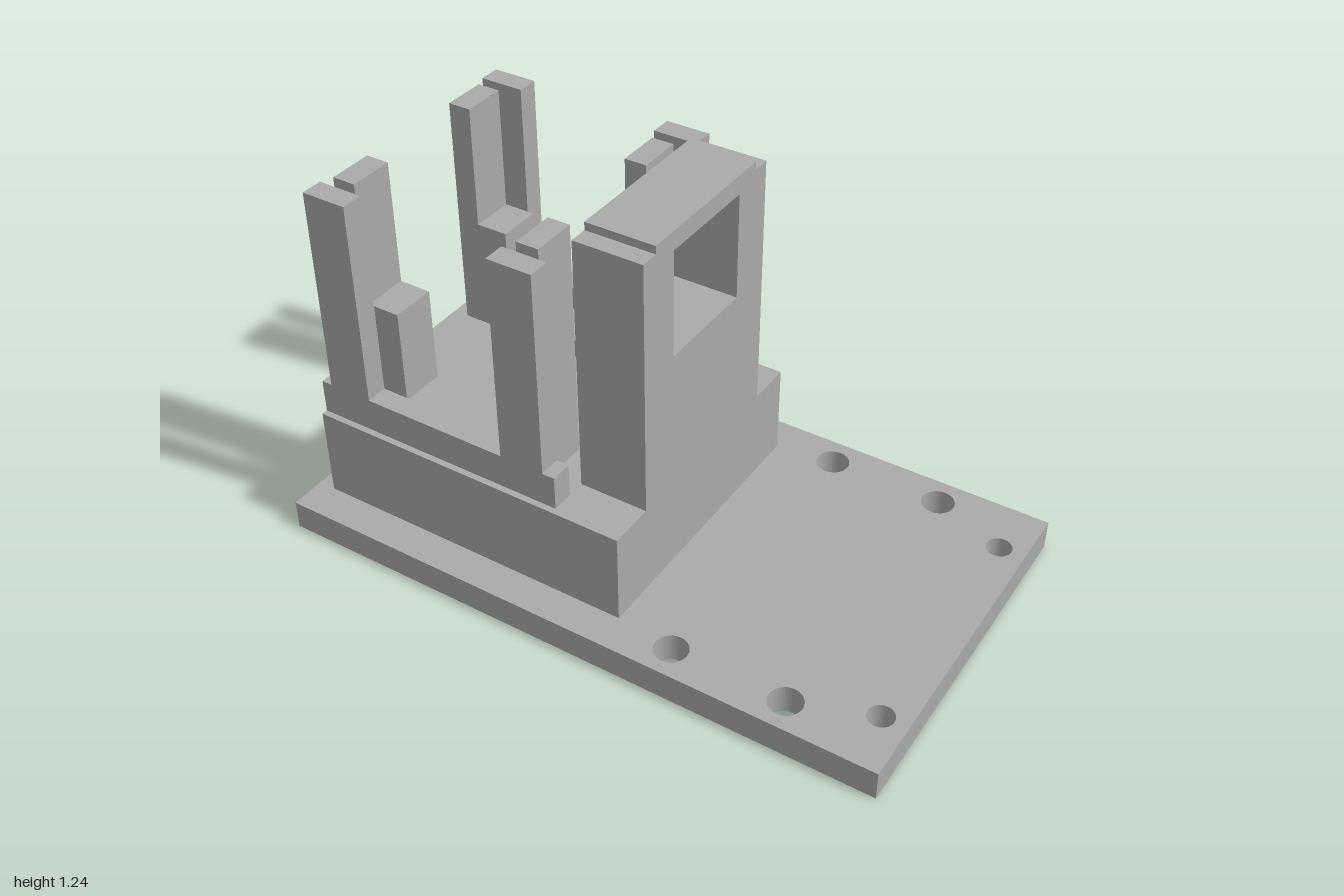
import * as THREE from 'three';

const grey = new THREE.MeshStandardMaterial({ color: 0xaaaaaa });
grey.name = 'plain grey';

const polygon = (points) => points.map(([x, y]) => new THREE.Vector2(x, y));

// Extrudes an outline with holes from depth 0 to the given depth
function extrude(name, shape, depth) {
  const geometry = new THREE.ExtrudeGeometry(shape, { depth, bevelEnabled: false, curveSegments: 20 });
  const mesh = new THREE.Mesh(geometry, grey);
  mesh.name = name;
  return mesh;
}

// Box given by its limits on each axis
function box(name, x0, x1, y0, y1, z0, z1) {
  const mesh = new THREE.Mesh(new THREE.BoxGeometry(x1 - x0, y1 - y0, z1 - z0), grey);
  mesh.position.set((x0 + x1) / 2, (y0 + y1) / 2, (z0 + z1) / 2);
  mesh.name = name;
  return mesh;
}

export function createModel() {
  const model = new THREE.Group();
  model.name = 'mountingBracket';
  const plateTop = 0.095, blockTop = 0.39;

  // Base plate with drilled holes
  const plate = new THREE.Shape(polygon([[-1, -0.575], [1, -0.575], [1, 0.575], [-1, 0.575]]));
  for (const [x, z, r] of [[0.31, 0.483, 0.052], [0.675, 0.483, 0.052], [0.917, 0.393, 0.04]]) {
    for (const side of [-1, 1]) {
      plate.holes.push(new THREE.Path().absarc(x, side * z, r, 0, Math.PI * 2, true));
    }
  }
  const basePlate = extrude('basePlate', plate, plateTop);
  basePlate.rotation.x = -Math.PI / 2;
  model.add(basePlate);

  // Solid block on the plate
  model.add(box('block', -0.945, 0.12, plateTop, blockTop, -0.46, 0.46));

  // Tower with a stepped top and a square window, outlined across z
  const tower = new THREE.Shape(polygon([
    [-0.313, blockTop], [0.313, blockTop], [0.313, 1.21], [0.254, 1.21],
    [0.254, 1.235], [-0.254, 1.235], [-0.254, 1.21], [-0.313, 1.21],
  ]));
  tower.holes.push(new THREE.Path(polygon([[-0.168, 0.837], [-0.168, 1.175], [0.168, 1.175], [0.168, 0.837]])));
  const windowTower = extrude('windowTower', tower, 0.22);
  windowTower.rotation.y = Math.PI / 2;
  windowTower.position.x = -0.1;
  model.add(windowTower);

  // Outer wall with two tall posts
  const wall = new THREE.Shape(polygon([
    [-0.945, blockTop], [-0.1, blockTop], [-0.1, 0.5], [-0.14, 0.5], [-0.14, 1.16], [-0.285, 1.16],
    [-0.285, 0.5], [-0.765, 0.5], [-0.765, 1.16], [-0.91, 1.16], [-0.91, 0.5], [-0.945, 0.5],
  ]));
  // Inner stepped support: tall post, short step, low pad
  const support = new THREE.Shape(polygon([
    [-0.895, blockTop], [-0.36, blockTop], [-0.36, 0.45], [-0.715, 0.45],
    [-0.715, 0.76], [-0.82, 0.76], [-0.82, 1.16], [-0.895, 1.16],
  ]));
  for (const [side, label] of [[1, 'front'], [-1, 'back']]) {
    const outer = extrude(label + 'PostWall', wall, 0.07);
    outer.position.z = side > 0 ? 0.37 : -0.44;
    const inner = extrude(label + 'SteppedSupport', support, 0.145);
    inner.position.z = side > 0 ? 0.187 : -0.332;
    const z = [side * 0.187, side * 0.332].sort((a, b) => a - b);
    model.add(outer, inner, box(label + 'InnerPost', -0.267, -0.195, blockTop, 1.16, z[0], z[1]));
  }
  return model;
}
